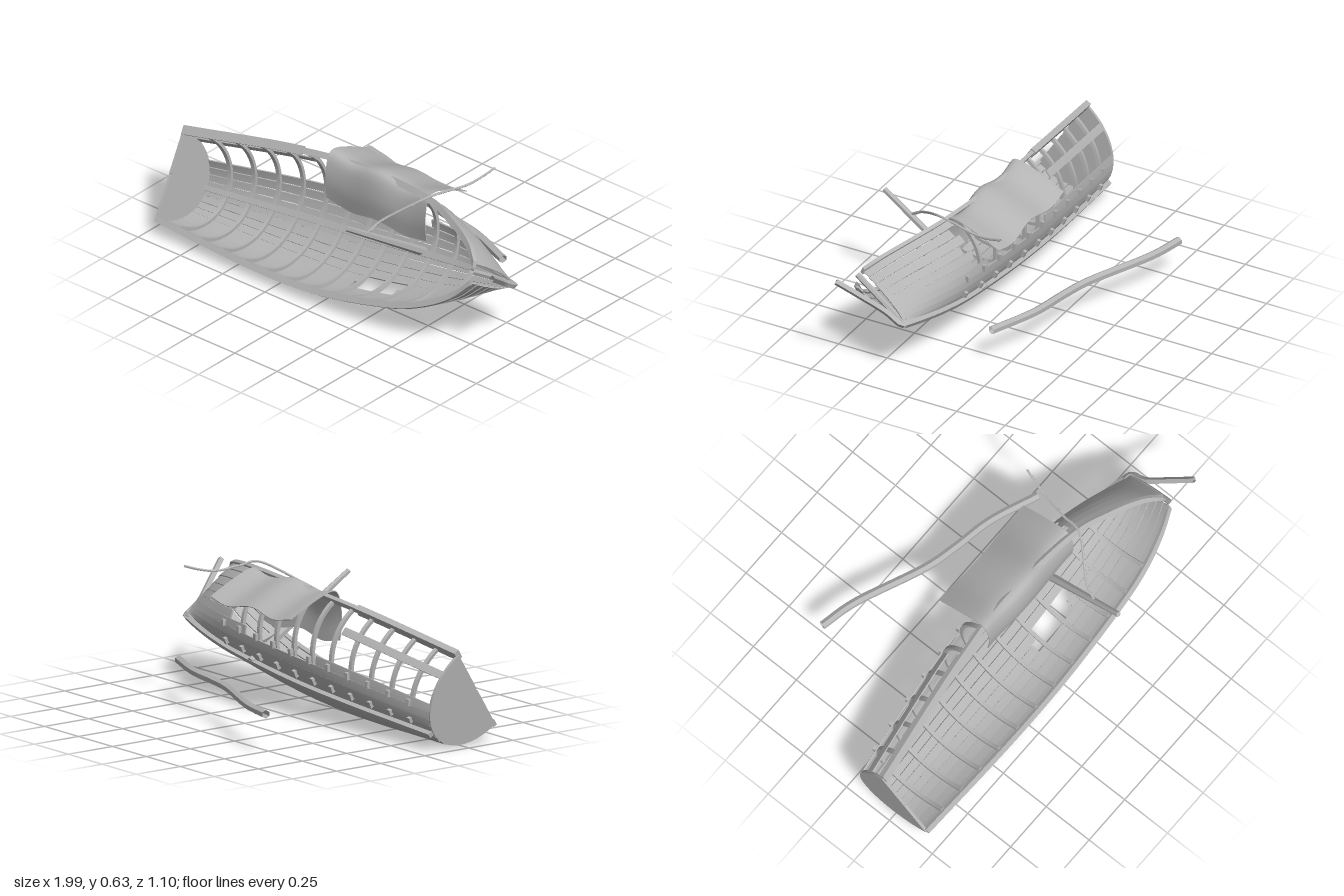
import * as THREE from 'three';
import { toCreasedNormals } from 'three/addons/utils/BufferGeometryUtils.js';

const V = (x, y, z) => new THREE.Vector3(x, y, z);
const wood = new THREE.MeshStandardMaterial({ color: 0xb4b4b4, side: THREE.DoubleSide });
wood.name = 'weathered grey';

// Hull guide lines, stern to bow: low gunwale, high gunwale and keel
const guide = pts => new THREE.CatmullRomCurve3(pts.map(p => V(...p)), false, 'catmullrom', 0.5);
const low = guide([[-0.955, 0.07, 0.43], [-0.4, 0.045, 0.44], [0, 0.06, 0.44], [0.4, 0.14, 0.43],
  [0.6, 0.21, 0.415], [0.75, 0.295, 0.385], [0.845, 0.39, 0.355]]);
const high = guide([[-0.985, 0.425, 0.2], [-0.4, 0.52, 0.13], [0, 0.56, 0.105], [0.4, 0.57, 0.14],
  [0.6, 0.55, 0.2], [0.75, 0.52, 0.265], [0.84, 0.475, 0.325]]);
const keel = guide([[-0.955, 0.075, 0.08], [-0.4, 0.12, 0.04], [0, 0.155, 0.03], [0.4, 0.205, 0.03],
  [0.6, 0.235, 0.045], [0.75, 0.26, 0.07], [0.87, 0.28, 0.1]]);

// Guide parameter at a given x
function at(x) {
  let a = 0, b = 1;
  for (let i = 0; i < 24; i++) {
    const m = (a + b) / 2;
    if (keel.getPoint(m).x < x) a = m; else b = m;
  }
  return (a + b) / 2;
}

// Point on the hull: t = -1 low gunwale, 0 keel, 1 high gunwale; inset moves it inward
function hull(s, t, inset = 0) {
  const L = low.getPoint(s), U = high.getPoint(s), K = keel.getPoint(s);
  const C = L.clone().add(U).multiplyScalar(0.5);
  const a = Math.abs(t) * Math.PI / 2;
  const P = C.clone().addScaledVector((t < 0 ? L : U).sub(C), Math.sin(a))
    .addScaledVector(K.sub(C), Math.cos(a));
  return P.addScaledVector(C.sub(P).normalize(), inset);
}

// Closed slab of even thickness around the surface f(u, v)
function slab(f, nu, nv, thick) {
  const pos = [], idx = [], e = 1e-3, n1 = nv + 1, half = (nu + 1) * n1;
  for (const side of [1, -1]) for (let i = 0; i <= nu; i++) for (let j = 0; j <= nv; j++) {
    const u = i / nu, v = j / nv;
    const u0 = Math.max(0, u - e), u1 = Math.min(1, u + e), v0 = Math.max(0, v - e), v1 = Math.min(1, v + e);
    const n = f(u1, v).sub(f(u0, v)).cross(f(u, v1).sub(f(u, v0))).normalize();
    pos.push(...f(u, v).addScaledVector(n, side * thick / 2).toArray());
  }
  const quad = (a, b, c, d) => idx.push(a, b, c, a, c, d);
  for (let i = 0; i < nu; i++) for (let j = 0; j < nv; j++) {
    const a = i * n1 + j, b = a + n1;
    quad(a, b, b + 1, a + 1);
    quad(half + a, half + a + 1, half + b + 1, half + b);
  }
  for (let i = 0; i < nu; i++) {
    const a = i * n1, b = a + n1, c = a + nv, d = b + nv;
    quad(a, half + a, half + b, b);
    quad(c, d, half + d, half + c);
  }
  for (let j = 0; j < nv; j++) {
    const a = j, c = nu * n1 + j;
    quad(a, a + 1, half + a + 1, half + a);
    quad(c, half + c, half + c + 1, c + 1);
  }
  const g = new THREE.BufferGeometry();
  g.setAttribute('position', new THREE.Float32BufferAttribute(pos, 3));
  g.setIndex(idx);
  return toCreasedNormals(g, 0.6);
}

export function createModel() {
  const model = new THREE.Group();
  model.name = 'wreckedBoat';
  const add = (name, geometry) => {
    const mesh = new THREE.Mesh(geometry, wood);
    mesh.name = name;
    model.add(mesh);
  };
  const mix = THREE.MathUtils.lerp;

  // Planks, each between two x positions
  const plank = (t0, t1, x0, x1, name = 'plank') => {
    const s0 = at(x0), s1 = at(x1);
    add(name, slab((u, v) => hull(mix(s0, s1, u), mix(t0 + 0.004, t1 - 0.004, v), 0.004 * v),
      Math.ceil((x1 - x0) * 18) + 2, 2, 0.007));
  };
  const aft = -0.955, fore = 0.87;
  const torn = [0.42, 0.4, 0.45, 0.41, 0.44, 0.4];
  for (let k = 0; k < 10; k++) {
    const t = k / 10;
    // Low side, with a hole in two strakes
    if (k === 4 || k === 5) {
      plank(-t - 0.1, -t, aft, k === 4 ? 0.07 : 0.04);
      plank(-t - 0.1, -t, k === 4 ? 0.33 : 0.29, fore);
    } else plank(-t - 0.1, -t, aft, fore);
    // High side, stripped above the bilge except at the bow
    if (k < 3) plank(t, t + 0.1, aft, fore);
    else if (k === 3) {
      plank(t, t + 0.1, aft, -0.22);
      plank(t, t + 0.1, 0.3, fore);
    } else plank(t, t + 0.1, torn[k - 4], fore);
  }
  plank(0.69, 0.78, aft, -0.35, 'loneStrake');

  // Ribs and the timber ends that stick out by the keel
  for (let i = 0; i < 12; i++) {
    const x = -0.83 + i * 0.13, s0 = at(x - 0.009), s1 = at(x + 0.009);
    add('rib', slab((u, v) => hull(mix(s0, s1, v), mix(-0.99, 0.99, u), 0.014), 28, 1, 0.016));
    if (x < 0.5) for (const t of [0.08, 0.3])
      add('timberEnd', slab((u, v) => hull(mix(s0, s1, v), mix(t, t + 0.07, u), -0.008), 2, 1, 0.018));
  }

  // Gunwales, with a heavier cap on the high side aft
  const rail = (name, t, x0, x1, inn, out, thick) => {
    const s0 = at(x0), s1 = at(x1);
    add(name, slab((u, v) => hull(mix(s0, s1, u), t, mix(out, inn, v)), 32, 1, thick));
  };
  rail('lowGunwale', -1, aft, fore, 0.018, -0.012, 0.018);
  rail('highGunwale', 1, aft, fore, 0.018, -0.012, 0.018);
  rail('gunwaleCap', 1, aft, -0.35, 0.025, -0.018, 0.028);

  // Keel and inner keelson
  add('keel', slab((u, v) => hull(u, 0, mix(-0.022, 0.004, v)), 30, 1, 0.024));
  add('keelson', slab((u, v) => hull(u * 0.97, mix(-0.04, 0.04, v), 0.024), 30, 1, 0.014));

  // Transom and the stem at the bow
  add('transom', slab((u, v) => {
    const C = low.getPoint(0).add(high.getPoint(0)).multiplyScalar(0.5);
    return C.lerp(hull(0, 2 * u - 1), mix(0.02, 1, v));
  }, 28, 1, 0.014));
  const beam = (name, pts, radius, sides, segments) => {
    const g = new THREE.TubeGeometry(guide(pts), segments, radius, sides, false);
    add(name, toCreasedNormals(g, 0.5));
  };
  beam('stem', [[0.868, 0.275, 0.095], [0.862, 0.36, 0.21], [0.845, 0.45, 0.35]], 0.014, 6, 8);
  beam('brokenStemPost', [[0.84, 0.285, 0.09], [0.885, 0.28, 0.1], [0.892, 0.33, 0.18],
    [0.94, 0.405, 0.28], [0.99, 0.478, 0.378]], 0.015, 4, 20);

  // Broken mast, tapering from the keel
  const foot = V(0.29, 0.185, 0.01), tip = V(0.262, 0.535, 0.54);
  const dir = tip.clone().sub(foot);
  const mast = new THREE.CylinderGeometry(0.013, 0.022, dir.length(), 6);
  mast.applyQuaternion(new THREE.Quaternion().setFromUnitVectors(V(0, 1, 0), dir.clone().normalize()));
  mast.translate(...foot.add(tip).multiplyScalar(0.5).toArray());
  add('mast', toCreasedNormals(mast, 0.5));

  // Rope from the mast over the high gunwale
  beam('rope', [[0.27, 0.455, 0.39], [0.3, 0.5, 0.32], [0.43, 0.595, 0.175], [0.45, 0.59, 0.07],
    [0.47, 0.578, -0.04], [0.49, 0.59, -0.12], [0.51, 0.615, -0.2]], 0.006, 6, 36);

  // Loose timber lying behind the hull
  beam('looseTimber', [[-0.525, 0.17, -0.535], [-0.34, 0.17, -0.49], [-0.03, 0.17, -0.36],
    [0.14, 0.17, -0.315], [0.34, 0.17, -0.275], [0.57, 0.17, -0.185]], 0.02, 6, 30);

  // Torn sail draped over the high gunwale
  const drape = guide([[0, 0.34, 0.15], [0, 0.45, 0.16], [0, 0.555, 0.14], [0, 0.572, 0.09],
    [0, 0.53, -0.02], [0, 0.475, -0.13]]);
  add('sail', slab((u, v) => {
    const p = drape.getPoint(v);
    const x = mix(-0.185, 0.405, u);
    return V(x, p.y + 0.012 * Math.sin(x * 19 - 0.6), p.z + 0.006 * Math.sin(x * 15));
  }, 32, 18, 0.004));

  return model;
}
